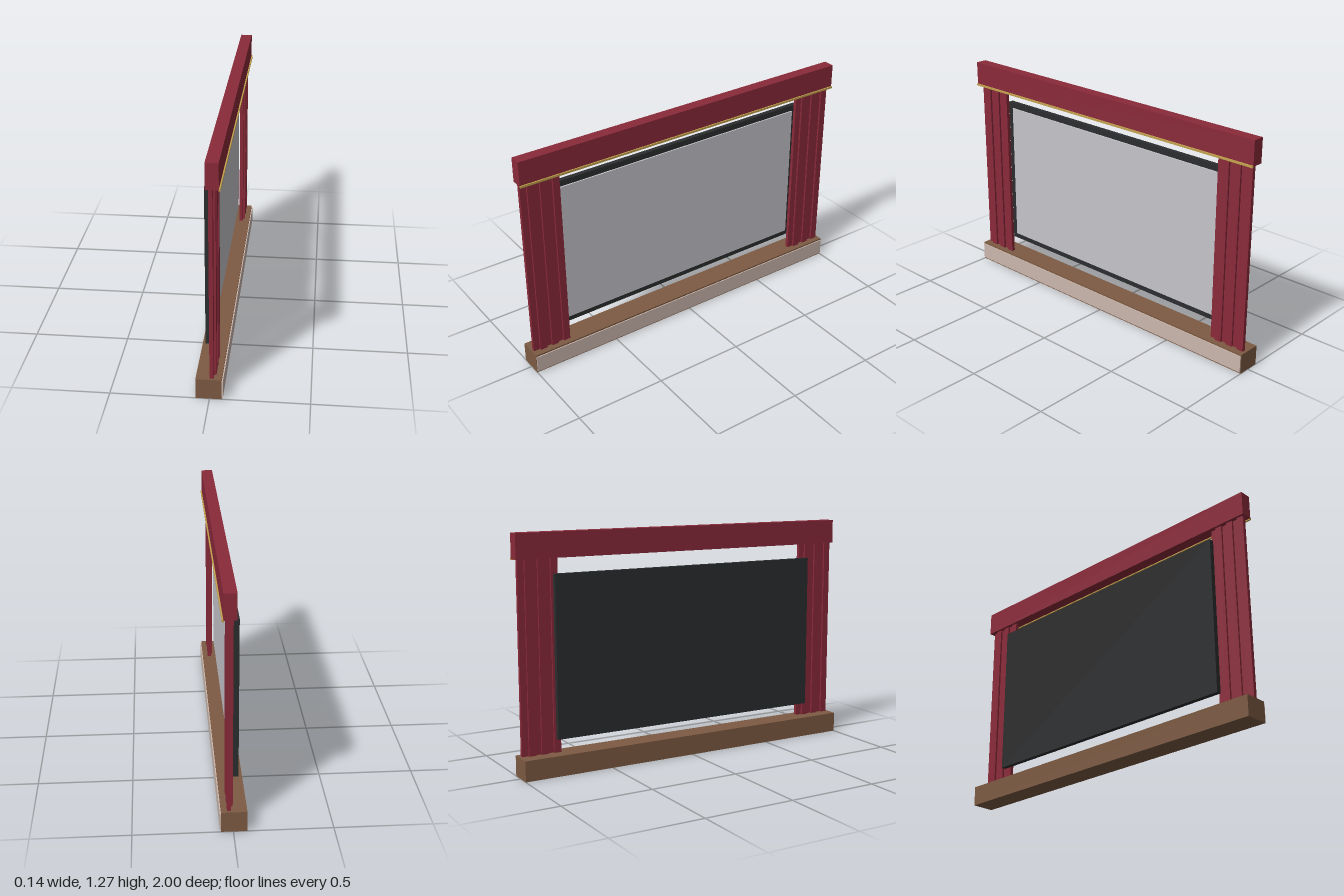
import * as THREE from 'three';

const mat = (name, color) => {
  const m = new THREE.MeshStandardMaterial({ color });
  m.name = name;
  return m;
};

export function createModel() {
  const red = mat('curtainRed', 0x8b2a3a);
  const brown = mat('woodBrown', 0x7d5b43);
  const cream = mat('fasciaCream', 0xcbb7ad);
  const dark = mat('frameBlack', 0x2c2d2e);
  const grey = mat('screenGrey', 0xc5c4ca);
  const gold = mat('trimGold', 0xc4a24e);

  const model = new THREE.Group();
  model.name = 'projectionScreenStage';

  // Box given by its minimum and maximum on each axis
  const box = (name, material, [x0, x1], [y0, y1], [z0, z1], parent = model) => {
    const mesh = new THREE.Mesh(new THREE.BoxGeometry(x1 - x0, y1 - y0, z1 - z0), material);
    mesh.position.set((x0 + x1) / 2, (y0 + y1) / 2, (z0 + z1) / 2);
    mesh.name = name;
    parent.add(mesh);
  };

  // Stage floor with a pale fascia
  box('stageBase', brown, [-0.069, 0.061], [0, 0.111], [-1, 1]);
  box('stageFascia', cream, [0.061, 0.067], [0.009, 0.102], [-0.998, 0.998]);

  // Screen and its backing frame
  box('screenFrame', dark, [-0.04, -0.013], [0.19, 1.057], [-0.8, 0.8]);
  box('screenSurface', grey, [-0.013, -0.005], [0.223, 1.025], [-0.763, 0.763]);

  // Pleated side curtains: alternating staggered folds
  const folds = 6, pitch = 0.0355;
  for (const [name, start] of [['leftCurtain', 0.773], ['rightCurtain', -0.984]]) {
    const curtain = new THREE.Group();
    curtain.name = name;
    for (let i = 0; i < folds; i++) {
      const x = i % 2 ? 0 : 0.011;
      const z = start + i * pitch;
      box('fold', red, [x, x + 0.02], [0.111, 1.14], [z, z + pitch + 0.003], curtain);
    }
    model.add(curtain);
  }

  // Valance with gold trim
  box('valance', red, [-0.013, 0.051], [1.136, 1.269], [-1, 1]);
  box('valanceTrim', gold, [0.049, 0.058], [1.13, 1.141], [-1, 1]);

  return model;
}
